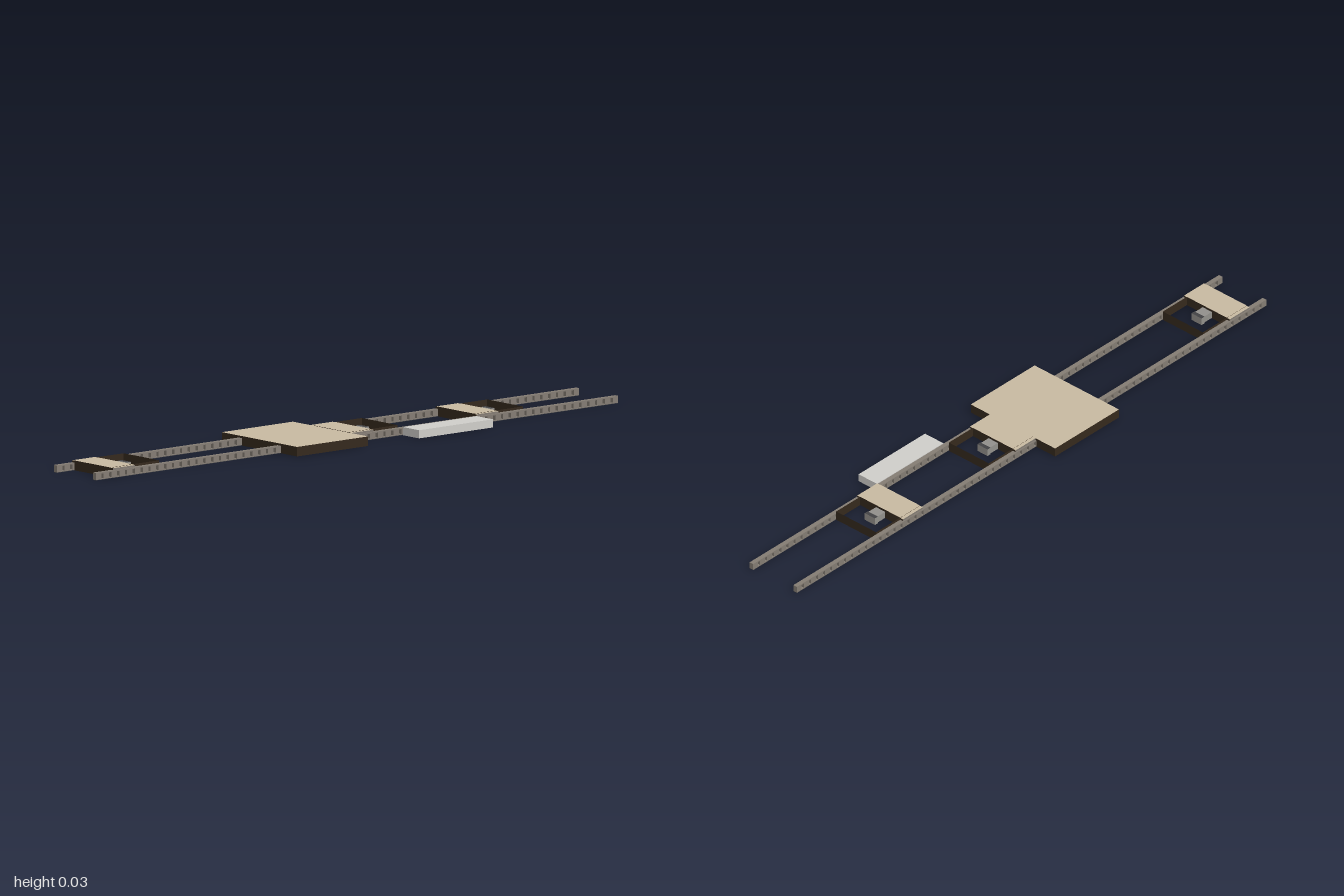
import * as THREE from 'three';

const make = (name, color, side = THREE.FrontSide) => {
  const m = new THREE.MeshStandardMaterial({ color, side });
  m.name = name;
  return m;
};

export function createModel() {
  const tan = make('tan panel', 0xc9bba2);
  const brown = make('dark brown sides', 0x35291d, THREE.DoubleSide);
  const steel = make('rail grey', 0x857d74);
  const pale = make('pale grey', 0xd0cfcb);
  const motorGrey = make('motor grey', 0x93918c);
  const charcoal = make('charcoal', 0x434346);
  // Material order: +x, -x, +y, -y, +z, -z
  const panelled = [brown, brown, tan, tan, brown, brown];
  const coverMats = [steel, steel, tan, tan, brown, brown];
  const capMats = [motorGrey, motorGrey, charcoal, motorGrey, motorGrey, motorGrey];

  const root = new THREE.Group();
  root.name = 'railPlatform';

  // Box given by its extents on each axis
  const box = (name, mat, [x0, x1], [y0, y1], [z0, z1], parent = root) => {
    const mesh = new THREE.Mesh(new THREE.BoxGeometry(x1 - x0, y1 - y0, z1 - z0), mat);
    mesh.position.set((x0 + x1) / 2, (y0 + y1) / 2, (z0 + z1) / 2);
    mesh.name = name;
    parent.add(mesh);
  };
  // Upright sheet without thickness
  const sheet = (name, width, x, z, turn, parent) => {
    const mesh = new THREE.Mesh(new THREE.PlaneGeometry(width, 0.029), brown);
    mesh.rotation.y = turn;
    mesh.position.set(x, 0.0145, z);
    mesh.name = name;
    parent.add(mesh);
  };
  const rect = (T, a, b, c, d) => {
    const s = new T();
    s.moveTo(a, b);
    s.lineTo(c, b);
    s.lineTo(c, d);
    s.lineTo(a, d);
    s.closePath();
    return s;
  };

  // Long slotted rails with a dark underside
  const profile = rect(THREE.Shape, -1, 0.0015, 1, 0.022);
  for (let i = 0; i < 66; i++) {
    const c = (i - 32.5) * 0.03;
    profile.holes.push(rect(THREE.Path, c - 0.0045, 0.004, c + 0.0045, 0.0185));
  }
  const railGeo = new THREE.ExtrudeGeometry(profile, { depth: 0.014, bevelEnabled: false });
  railGeo.translate(0, 0, -0.007);
  railGeo.rotateY(Math.PI / 2);
  for (const side of [1, -1]) {
    const x = side * 0.086;
    const rail = new THREE.Mesh(railGeo, steel);
    rail.position.x = x;
    rail.name = side > 0 ? 'leftRail' : 'rightRail';
    root.add(rail);
    box('railUnderside', charcoal, [x - 0.007, x + 0.007], [0.0005, 0.0015], [-1, 1]);
  }

  // Main platform and side box
  box('platform', panelled, [-0.167, 0.165], [0, 0.028], [0.02, 0.292]);
  box('sideBox', pale, [0.093, 0.165], [0, 0.024], [-0.458, -0.175]);

  // Carriages: covered front, open frame behind it, motor inside the frame
  for (const z of [-0.46, 0.02, 0.932]) {
    const carriage = new THREE.Group();
    carriage.name = 'carriage';
    carriage.position.z = z;
    root.add(carriage);
    box('coverBlock', panelled, [-0.079, 0.079], [0, 0.029], [-0.085, 0], carriage);
    box('coverPlate', coverMats, [-0.09, 0.09], [0.0225, 0.0282], [-0.085, 0], carriage);
    sheet('crossBar', 0.157, 0, -0.187, 0, carriage);
    for (const side of [1, -1]) {
      sheet('frameWall', 0.102, side * 0.0785, -0.136, side * Math.PI / 2, carriage);
    }
    box('motor', motorGrey, [-0.02, 0.016], [0.001, 0.022], [-0.118, -0.085], carriage);
    box('motorCap', capMats, [-0.022, 0.018], [0, 0.023], [-0.131, -0.118], carriage);
  }
  return root;
}
